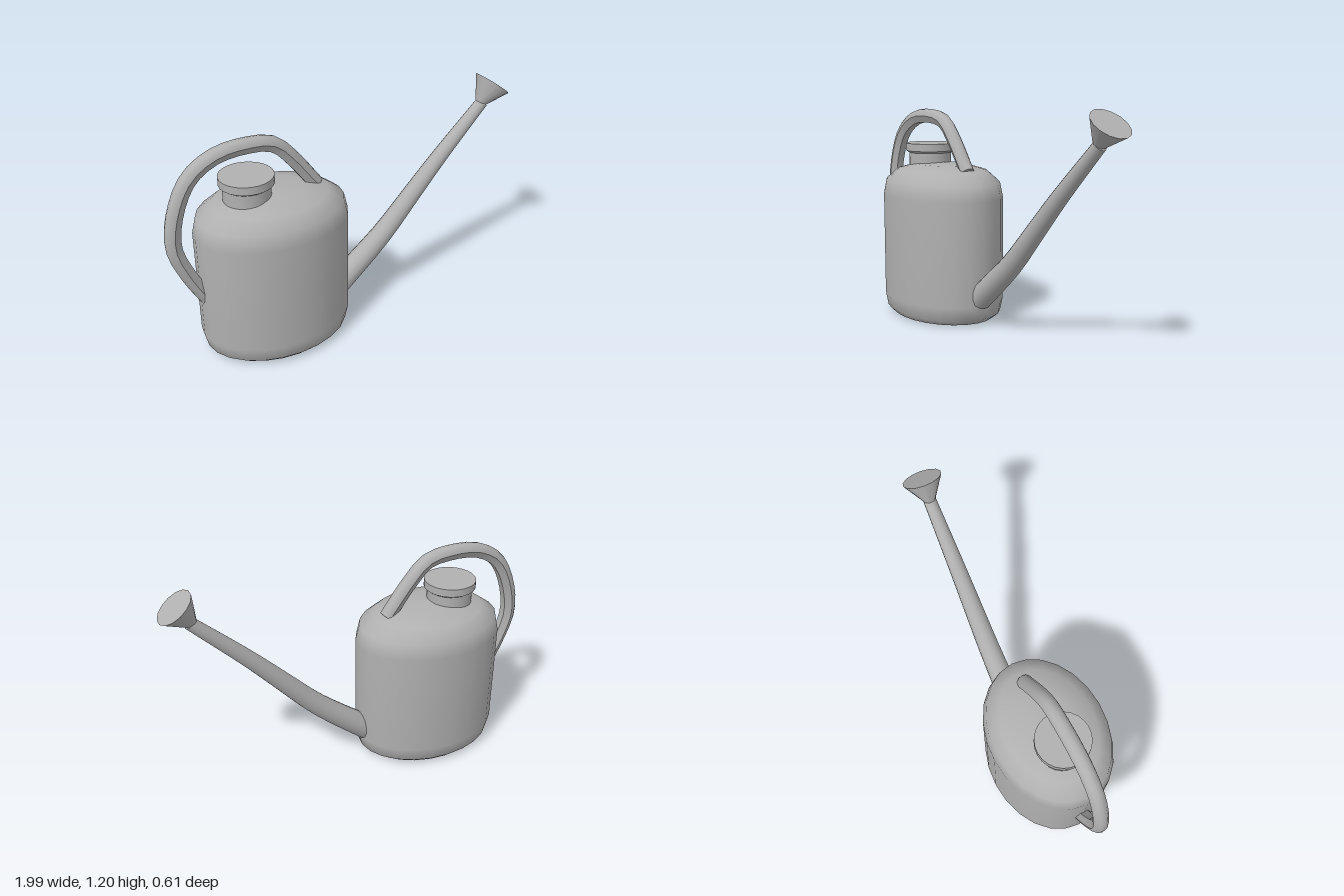
import * as THREE from 'three';
import { toCreasedNormals } from 'three/addons/utils/BufferGeometryUtils.js';

const grey = new THREE.MeshStandardMaterial({ color: 0xb0b0b0 });
grey.name = 'grey';

// Sweep a cross-section of [outward, z] points, scaled along the way, over a path in the xy plane
function sweep(points, section, steps, scaleAt) {
  const curve = new THREE.CatmullRomCurve3(points.map(([x, y]) => new THREE.Vector3(x, y, 0)));
  const pos = [], index = [], n = section.length;
  for (let i = 0; i <= steps; i++) {
    const p = curve.getPointAt(i / steps), t = curve.getTangentAt(i / steps), s = scaleAt(i / steps);
    for (const [u, z] of section) pos.push(p.x - t.y * u * s, p.y + t.x * u * s, z * s);
  }
  for (let i = 0; i < steps; i++) {
    for (let j = 0; j < n; j++) {
      const a = i * n + j, b = i * n + (j + 1) % n;
      index.push(a, b, a + n, b, b + n, a + n);
    }
  }
  // End caps
  const last = steps * n;
  for (let j = 1; j < n - 1; j++) {
    index.push(0, j + 1, j, last, last + j, last + j + 1);
  }
  const geo = new THREE.BufferGeometry();
  geo.setAttribute('position', new THREE.Float32BufferAttribute(pos, 3));
  geo.setIndex(index);
  return toCreasedNormals(geo, 0.7);
}

function lathe(profile, sides) {
  return new THREE.LatheGeometry(profile.map(([r, y]) => new THREE.Vector2(r, y)), sides);
}

export function createModel() {
  const group = new THREE.Group();
  const add = (name, geo) => {
    const mesh = new THREE.Mesh(geo, grey);
    mesh.name = name;
    group.add(mesh);
    return mesh;
  };

  // Oval tank with rounded shoulders
  const tank = add('tank', lathe([
    [0, 0], [0.85, 0.004], [0.955, 0.035], [1, 0.11], [1, 0.68],
    [0.95, 0.765], [0.75, 0.825], [0.42, 0.855], [0, 0.862],
  ], 24));
  tank.scale.set(0.408, 1, 0.303);
  tank.position.x = -0.44;

  // Filler neck with a wider flat lid
  const neck = add('neckAndLid', toCreasedNormals(lathe([
    [0.12, 0.8], [0.12, 0.912], [0.138, 0.924], [0.138, 0.966], [0, 0.966],
  ], 24), 0.6));
  neck.position.x = -0.565;

  // Handle: round outside, bevelled towards a narrow inner face
  const handleSection = [
    [0.04, 0], [0.035, 0.02], [0.02, 0.035], [0, 0.04], [-0.037, 0.02],
    [-0.037, -0.02], [0, -0.04], [0.02, -0.035], [0.035, -0.02],
  ];
  add('handle', sweep([
    [-0.81, 0.33], [-0.9, 0.5], [-0.96, 0.68], [-0.93, 0.87], [-0.85, 1.02],
    [-0.72, 1.1], [-0.56, 1.118], [-0.42, 1.095], [-0.33, 1.01], [-0.19, 0.825],
  ], handleSection, 26, () => 1));

  // Tapered, slightly curved spout
  const circle = Array.from({ length: 14 }, (_, i) => {
    const a = (i / 14) * Math.PI * 2;
    return [Math.cos(a), Math.sin(a)];
  });
  add('spout', sweep([
    [-0.07, 0.155], [0.08, 0.275], [0.23, 0.405], [0.4, 0.585], [0.58, 0.775], [0.85, 1.04],
  ], circle, 14, (t) => 0.068 - 0.035 * t));

  // Flared sprinkler head
  const rose = add('sprinklerHead', toCreasedNormals(
    new THREE.CylinderGeometry(0.103, 0.028, 0.125, 14), 0.7));
  const dir = new THREE.Vector3(0.6, 0.8, 0);
  rose.quaternion.setFromUnitVectors(new THREE.Vector3(0, 1, 0), dir);
  rose.position.set(0.913, 1.137, 0).addScaledVector(dir, -0.0625);

  return group;
}
